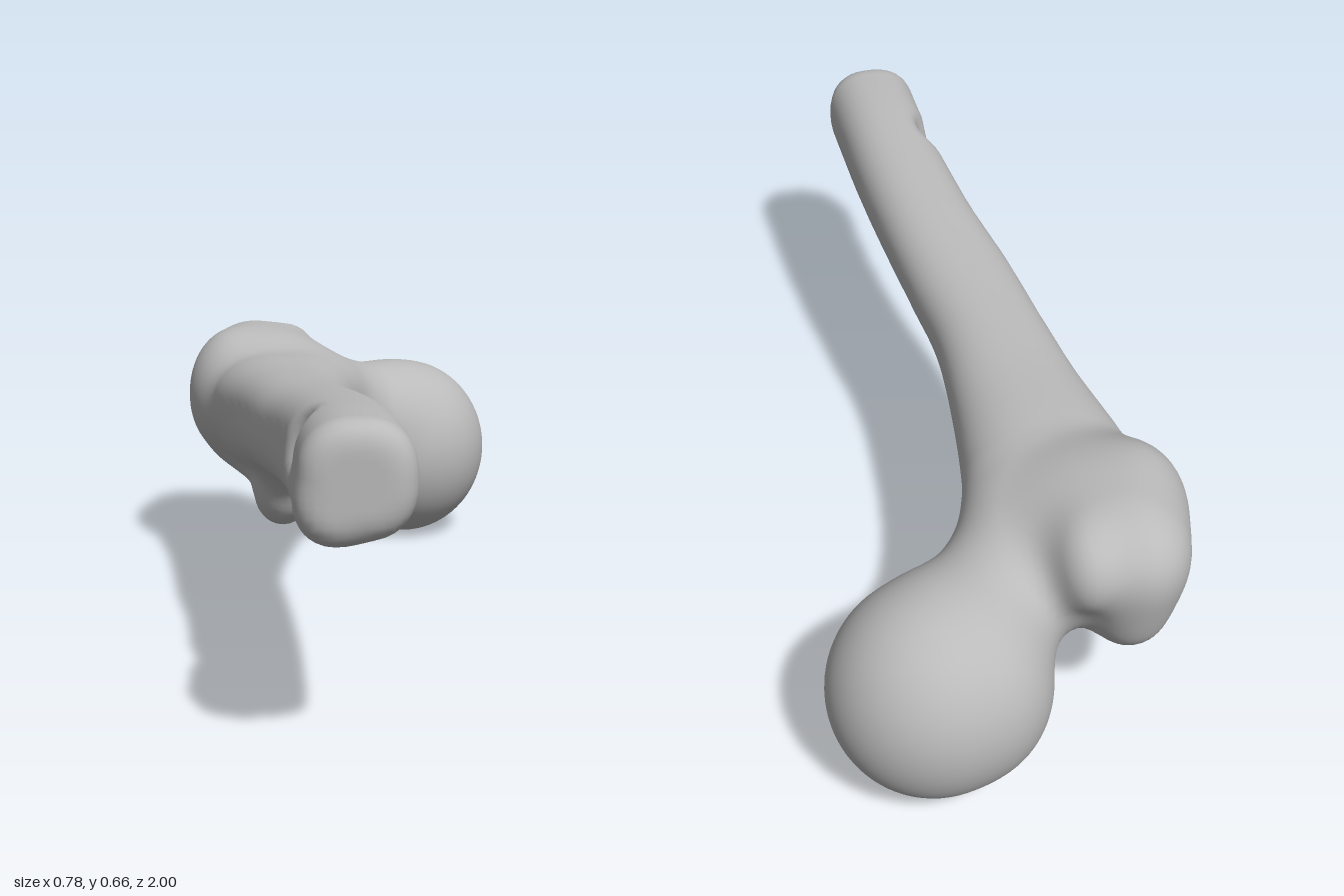
import * as THREE from 'three';

// Rounded building blocks as signed distances (negative inside)
const smin = (a, b, k) => {
  const h = Math.max(k - Math.abs(a - b), 0) / k;
  return Math.min(a, b) - h * h * k / 4;
};
const smax = (a, b, k) => -smin(-a, -b, k);

const blob = (c, r) => (x, y, z) => {
  const u = (x - c[0]) / r[0], v = (y - c[1]) / r[1], w = (z - c[2]) / r[2];
  const n = Math.hypot(u, v, w);
  return n < 1e-6 ? -Math.min(...r) : n * (n - 1) / Math.hypot(u / r[0], v / r[1], w / r[2]);
};

const rod = (a, b, ra, rb) => {
  const d = b.map((v, i) => v - a[i]);
  const len2 = d[0] * d[0] + d[1] * d[1] + d[2] * d[2];
  return (x, y, z) => {
    const px = x - a[0], py = y - a[1], pz = z - a[2];
    const t = Math.min(1, Math.max(0, (px * d[0] + py * d[1] + pz * d[2]) / len2));
    return Math.hypot(px - t * d[0], py - t * d[1], pz - t * d[2]) - ra - (rb - ra) * t;
  };
};

const blend = (k, ...shapes) => (x, y, z) =>
  shapes.reduce((d, s) => smin(d, s(x, y, z), k), 10);

// Shaft sections along z: left, right, bottom, top
const sections = [
  [-0.70, -0.34, 0.03, 0.29, 0.53], [-0.50, -0.345, 0.045, 0.27, 0.545],
  [-0.40, -0.33, 0.025, 0.28, 0.55], [-0.20, -0.29, 0.00, 0.32, 0.555],
  [0.00, -0.26, -0.01, 0.362, 0.57], [0.20, -0.235, 0.01, 0.39, 0.59],
  [0.40, -0.20, 0.03, 0.41, 0.615], [0.60, -0.178, 0.045, 0.425, 0.638],
  [0.80, -0.166, 0.052, 0.433, 0.657], [1.00, -0.165, 0.055, 0.44, 0.667],
];
const profile = new THREE.CubicInterpolant(
  sections.map(s => s[0]), sections.flatMap(s => s.slice(1)), 4);
const pit = blob([-0.178, 0.59, 0.72], [0.045, 0.055, 0.055]);

function shaft(x, y, z) {
  const [l, r, b, t] = profile.evaluate(z);
  const rx = (r - l) / 2, ry = (t - b) / 2, e = 2.4;
  const u = Math.abs(x - (l + r) / 2) / rx, v = Math.abs(y - (b + t) / 2) / ry;
  let d = (Math.pow(u ** e + v ** e, 1 / e) - 1) * Math.min(rx, ry);
  const ridge = Math.hypot(x - l - 0.28 * (r - l), y - b - 0.055) - 0.053;
  d = smin(d, ridge, 0.05);
  d = smax(d, z - 1, 0.06);          // sawn end
  d = smax(d, -0.66 - z, 0.15);      // runs out inside the upper end
  return smax(d, -pit(x, y, z), 0.05);
}

// Parts and how softly each one joins the rest
const parts = [
  { name: 'shaft', k: 0.05, f: shaft },
  { name: 'neck', k: 0.09, f: rod([-0.18, 0.40, -0.57], [0.10, 0.315, -0.745], 0.13, 0.147) },
  { name: 'greaterTrochanter', k: 0.07, f: blend(0.06,
    blob([-0.235, 0.46, -0.73], [0.115, 0.12, 0.135]),
    blob([-0.285, 0.422, -0.60], [0.103, 0.155, 0.13]),
    blob([-0.13, 0.47, -0.76], [0.065, 0.095, 0.095]),
    blob([-0.20, 0.47, -0.65], [0.14, 0.105, 0.15]),
    blob([-0.235, 0.36, -0.71], [0.10, 0.14, 0.13])) },
  { name: 'lesserTrochanter', k: 0.06, f: blend(0.05,
    blob([-0.162, 0.207, -0.37], [0.07, 0.077, 0.105]),
    rod([-0.16, 0.25, -0.31], [-0.155, 0.36, -0.16], 0.06, 0.045),
    rod([-0.25, 0.29, -0.60], [-0.18, 0.235, -0.44], 0.06, 0.055)) },
  { name: 'head', k: 0.05, f: blend(0.04,
    blob([0.172, 0.232, -0.793], [0.217, 0.232, 0.207]),
    blob([0.09, 0.24, -0.805], [0.147, 0.195, 0.165])) },
];
const bone = (x, y, z) => parts.reduce((d, p) => smin(d, p.f(x, y, z), p.k), 10);

function gradient(x, y, z) {
  const h = 0.002;
  return [bone(x + h, y, z) - bone(x - h, y, z), bone(x, y + h, z) - bone(x, y - h, z),
    bone(x, y, z + h) - bone(x, y, z - h)].map(v => v / (2 * h));
}

// Skin the blended parts: one point per surface cell, one quad per crossed edge
function skin() {
  const step = 0.017, min = [-0.46, -0.06, -1.06], n = [54, 48, 126];
  const stride = [1, n[0], n[0] * n[1]];
  const val = new Float32Array(n[0] * n[1] * n[2]);
  const at = (i, j, k) => i + j * stride[1] + k * stride[2];
  const each = fn => {
    for (let k = 1; k < n[2] - 1; k++)
      for (let j = 1; j < n[1] - 1; j++)
        for (let i = 1; i < n[0] - 1; i++) fn(i, j, k, at(i, j, k));
  };
  val.fill(1);
  each((i, j, k, id) => {
    val[id] = bone(min[0] + i * step, min[1] + j * step, min[2] + k * step);
  });

  const points = new Map();
  const point = id => {
    if (points.has(id)) return points.get(id);
    const cell = [id % n[0], Math.floor(id / n[0]) % n[1], Math.floor(id / stride[2])];
    const p = cell.map((c, a) => min[a] + (c + 0.5) * step);
    for (let s = 0; s < 4; s++) {     // slide onto the surface
      const g = gradient(...p), d = bone(...p);
      const q = d / Math.max(g[0] ** 2 + g[1] ** 2 + g[2] ** 2, 0.2);
      for (let a = 0; a < 3; a++) p[a] -= g[a] * q;
    }
    const g = gradient(...p), m = Math.hypot(...g) || 1;
    const out = { p, normal: g.map(v => v / m) };
    points.set(id, out);
    return out;
  };

  const quads = [];
  each((i, j, k, id) => {
    for (let a = 0; a < 3; a++) {
      const inside = val[id] < 0;
      if (inside === (val[id + stride[a]] < 0)) continue;
      const b = stride[(a + 1) % 3], c = stride[(a + 2) % 3];
      const q = [id, id - b, id - b - c, id - c].map(point);
      quads.push(inside ? q : q.reverse());
    }
  });
  return quads;
}

export function createModel() {
  const group = new THREE.Group();
  group.name = 'thighBone';
  const boneGrey = new THREE.MeshStandardMaterial({ color: 0xbababa });
  boneGrey.name = 'boneGrey';

  // Give every quad to the part it lies closest to
  const buckets = parts.map(() => ({ position: [], normal: [] }));
  for (const q of skin()) {
    const c = [0, 1, 2].map(a => q.reduce((s, v) => s + v.p[a], 0) / 4);
    const dist = parts.map(p => p.f(...c));
    const bucket = buckets[dist.indexOf(Math.min(...dist))];
    for (const v of [q[0], q[1], q[2], q[0], q[2], q[3]]) {
      bucket.position.push(...v.p);
      bucket.normal.push(...v.normal);
    }
  }
  parts.forEach((part, i) => {
    const geometry = new THREE.BufferGeometry();
    for (const key of ['position', 'normal'])
      geometry.setAttribute(key, new THREE.Float32BufferAttribute(buckets[i][key], 3));
    const mesh = new THREE.Mesh(geometry, boneGrey);
    mesh.name = part.name;
    group.add(mesh);
  });
  return group;
}
